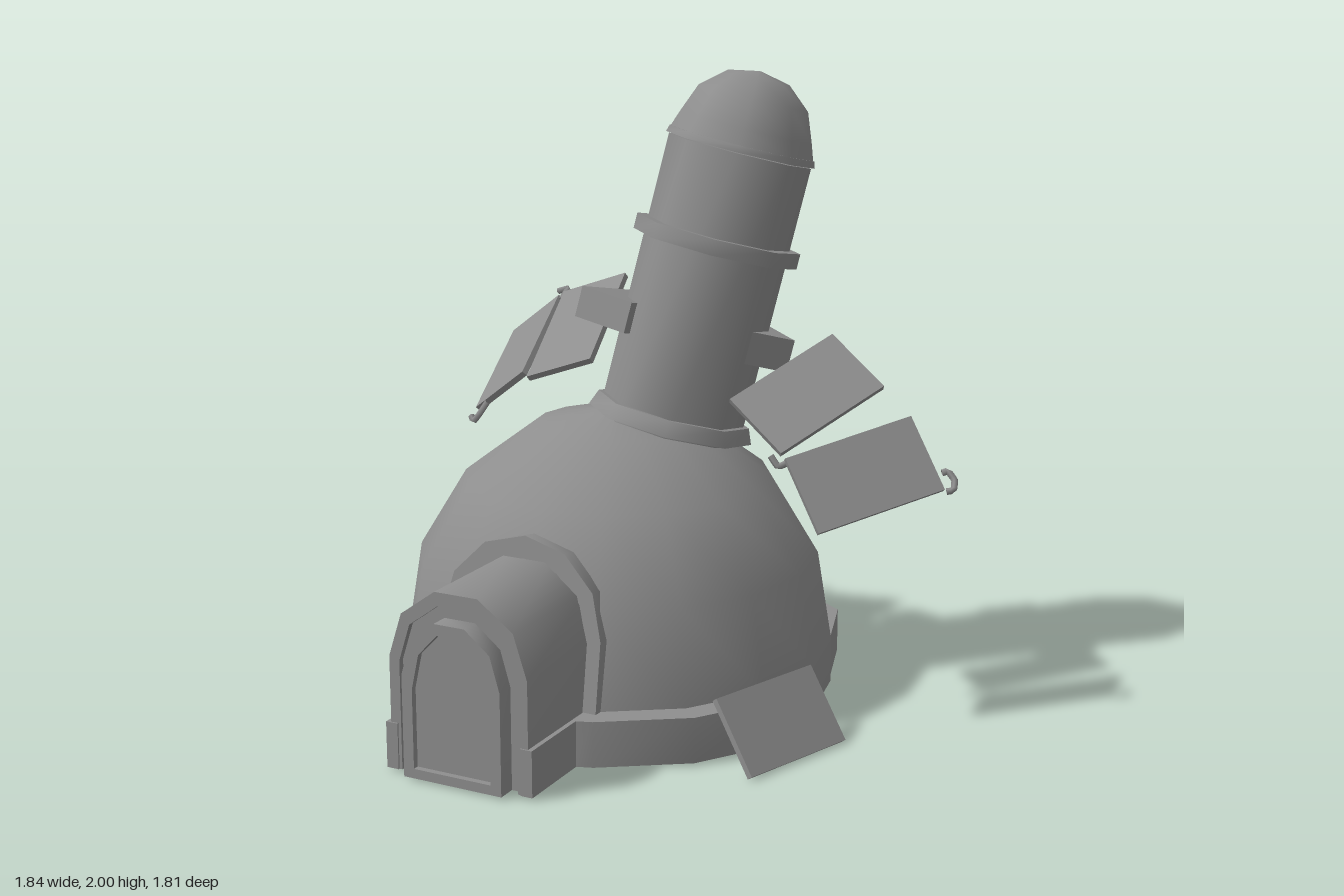
import * as THREE from 'three';
import { toCreasedNormals } from 'three/addons/utils/BufferGeometryUtils.js';

const V = (a) => new THREE.Vector3(...a);
const CX = -0.2, CZ = -0.13, BASE = 0.012, RIM = 0.157;

export function createModel() {
  const root = new THREE.Group();
  const mat = new THREE.MeshStandardMaterial({ color: 0x8e8e8e, side: THREE.DoubleSide });
  const add = (name, geo, parent = root) => {
    const m = new THREE.Mesh(geo, mat);
    m.name = name;
    parent.add(m);
    return m;
  };
  const crease = (g, a = 0.9) => toCreasedNormals(g, a);

  // Dome: 16-sided shell, open below and behind the entrance tunnel
  const profile = [[0.70, BASE], [0.70, RIM]];
  for (let i = 1; i <= 4; i++) {
    const a = i * Math.PI / 8;
    profile.push([Math.max(0.0001, 0.705 * Math.cos(a)), RIM + 0.78 * Math.sin(a)]);
  }
  const dome = new THREE.LatheGeometry(profile.map(p => new THREE.Vector2(...p)), 16);
  const pos = dome.attributes.position, idx = dome.index.array, kept = [];
  for (let i = 0; i < idx.length; i += 3) {
    const t = [idx[i], idx[i + 1], idx[i + 2]];
    const mean = (f) => t.reduce((s, k) => s + f(k), 0) / 3;
    const doorway = mean(k => pos.getY(k)) < 0.45 && mean(k => pos.getZ(k)) > 0.6;
    if (!doorway) kept.push(...t);
  }
  dome.setIndex(kept);
  add('dome', dome).position.set(CX, 0, CZ);

  // Uneven foundation ring: a thin ledge and wall, flush with the dome on parts
  // of its sides. Radii run from the front (+z) round through +x.
  const F = 0.78, N = 0.695;
  const radii = [F, F, F, F, N, N, F, F, F, F, F, F, N, N, N, F];
  const ring = new THREE.PlaneGeometry(1, 1, 16, 2);
  for (let row = 0; row < 3; row++) {
    for (let i = 0; i <= 16; i++) {
      const r = row === 0 ? 0.66 : radii[i % 16], a = i * Math.PI / 8;
      const y = row === 2 ? BASE : RIM;
      // The ends stop at the tunnel walls
      if (i % 16 === 0) ring.attributes.position.setXYZ(row * 17 + i, i ? -0.24 : 0.24, y, row ? 0.74 : 0.62);
      else ring.attributes.position.setXYZ(row * 17 + i, r * Math.sin(a), y, r * Math.cos(a));
    }
  }
  add('foundationRing', crease(ring, 0.5)).position.set(CX, 0, CZ);

  // Faceted round arch for the entrance: half width, spring height, top, facets
  const arch = (hw, spring, top, n = 5, bottom = BASE) => {
    const h = (top - spring) / Math.sin(Math.floor(n / 2) * Math.PI / n);
    const pts = [new THREE.Vector2(-hw, bottom)];
    for (let i = 0; i <= n; i++) {
      const a = i * Math.PI / n;
      pts.push(new THREE.Vector2(-hw * Math.cos(a), spring + h * Math.sin(a)));
    }
    return [...pts, new THREE.Vector2(hw, bottom)];
  };
  const archPart = (name, out, inn, z0, z1) => {
    const pts = inn ? [...out, ...inn.slice().reverse()] : out;
    const g = new THREE.ExtrudeGeometry(new THREE.Shape(pts), { depth: z1 - z0, bevelEnabled: false });
    const m = add(name, crease(g));
    m.position.set(CX, 0, z0);
    return m;
  };
  const a1 = arch(0.235, 0.365, 0.587), a2 = arch(0.2, 0.355, 0.545);
  const a3 = arch(0.167, 0.33, 0.505), a4 = arch(0.132, 0.29, 0.47);
  archPart('entranceTunnel', a1, a2, 0.43, 0.86);
  archPart('entranceRecess', a2, a4, 0.8, 0.84);
  archPart('doorFrame', a3, a4, 0.84, 0.9);
  archPart('door', arch(0.132, 0.29, 0.47, 5, 0.04), null, 0.84, 0.88);
  add('doorSill', new THREE.BoxGeometry(0.33, 0.03, 0.06)).position.set(CX, BASE + 0.015, 0.87);

  // Sloping collar where the tunnel meets the dome
  const collar = archPart('tunnelCollar', arch(0.28, 0.22, 0.505, 6, 0), arch(0.232, 0.21, 0.435, 6, 0), 0.485, 0.54);
  collar.position.y = 0.15;
  collar.rotation.x = -0.15;
  for (const s of [-1, 1])
    add('tunnelPlinth', new THREE.BoxGeometry(0.04, 0.145, 0.37))
      .position.set(CX + s * 0.23, BASE + 0.0725, 0.68);

  // Leaning tower, built upright then tilted
  const tower = new THREE.Group();
  tower.name = 'tower';
  tower.position.set(-0.045, 0.9, -0.212);
  tower.quaternion.setFromUnitVectors(V([0, 1, 0]), V([0.19, 1, -0.18]).normalize());
  root.add(tower);
  const drum = (name, r0, r1, y0, y1) => {
    const g = new THREE.CylinderGeometry(r1, r0, y1 - y0, 8, 1, false, Math.PI / 8);
    add(name, crease(g, 1), tower).position.y = (y0 + y1) / 2;
  };
  drum('towerBase', 0.27, 0.25, -0.03, 0.02);
  drum('towerBody', 0.232, 0.232, -0.04, 0.875);
  drum('towerBand', 0.268, 0.268, 0.555, 0.605);
  drum('capRim', 0.242, 0.236, 0.878, 0.9);
  const cap = [[0.234, 0.895], [0.215, 0.95], [0.178, 1.045], [0.1, 1.112], [0.0001, 1.132]];
  add('towerCap', new THREE.LatheGeometry(cap.map(p => new THREE.Vector2(...p)), 8, Math.PI / 8), tower);

  // Bracket blocks reaching out of the tower: size, position, turn
  const bracket = (name, size, at, turn) => {
    const b = add(name, new THREE.BoxGeometry(...size), tower);
    b.position.set(...at);
    b.rotation.y = turn;
  };
  bracket('leftBracket', [0.3, 0.105, 0.36], [0.084, 0.288, -0.086], 0.8);
  bracket('rightBracket', [0.2, 0.1, 0.34], [-0.22, 0.285, 0.01], -0.15);

  // Flat panels spanned by four corners in order
  const panel = (name, corners) => {
    const [a, b, c, d] = corners.map(V);
    const u = b.clone().sub(a).add(c).sub(d).multiplyScalar(0.5);
    const v = d.clone().sub(a).add(c).sub(b).multiplyScalar(0.5);
    const n = v.clone().cross(u).normalize().multiplyScalar(0.02);
    const mid = a.add(b).add(c).add(d).multiplyScalar(0.25);
    const g = new THREE.BoxGeometry(1, 1, 1);
    g.applyMatrix4(new THREE.Matrix4().makeBasis(u, n, v).setPosition(mid));
    add(name, g);
  };
  panel('rightInnerPanel', [[-0.6, 1.2, -0.5], [-0.365, 1.285, -0.5], [-0.295, 1.07, -0.13], [-0.535, 0.985, -0.13]]);
  panel('rightOuterPanel', [[-0.83, 1.035, -0.54], [-0.622, 1.185, -0.515], [-0.553, 1.0, -0.13], [-0.737, 0.855, -0.15]]);
  panel('leftInnerPanel', [[0.225, 1.01, -0.07], [0.435, 1.175, -0.385], [0.632, 1.04, -0.335], [0.425, 0.87, -0.02]]);
  panel('leftOuterPanel', [[0.45, 0.87, 0], [0.733, 0.96, -0.3], [0.873, 0.762, -0.255], [0.583, 0.657, 0.06]]);
  panel('fallenPanel', [[0.54, 0.215, 0.005], [0.68, 0.01, 0.05], [0.545, 0.01, 0.445], [0.405, 0.215, 0.395]]);

  // Hinge rods and bent hooks along the panel edges
  const tube = (name, pts) => add(name,
    new THREE.TubeGeometry(new THREE.CatmullRomCurve3(pts.map(V), false, 'catmullrom', 0.2), 8, 0.011, 5));
  tube('rightHinge', [[-0.61, 1.18, -0.49], [-0.61, 1.2, -0.52], [-0.6, 1.215, -0.53], [-0.645, 1.2, -0.53]]);
  tube('rightHook', [[-0.70, 0.885, -0.145], [-0.73, 0.84, -0.14], [-0.76, 0.81, -0.15], [-0.775, 0.825, -0.16]]);
  tube('leftHinge', [[0.40, 0.87, 0], [0.425, 0.84, 0.0], [0.455, 0.855, -0.01]]);
  tube('leftHook', [[0.86, 0.81, -0.26], [0.875, 0.815, -0.27], [0.9, 0.79, -0.265], [0.905, 0.765, -0.245], [0.885, 0.76, -0.235]]);

  return root;
}
